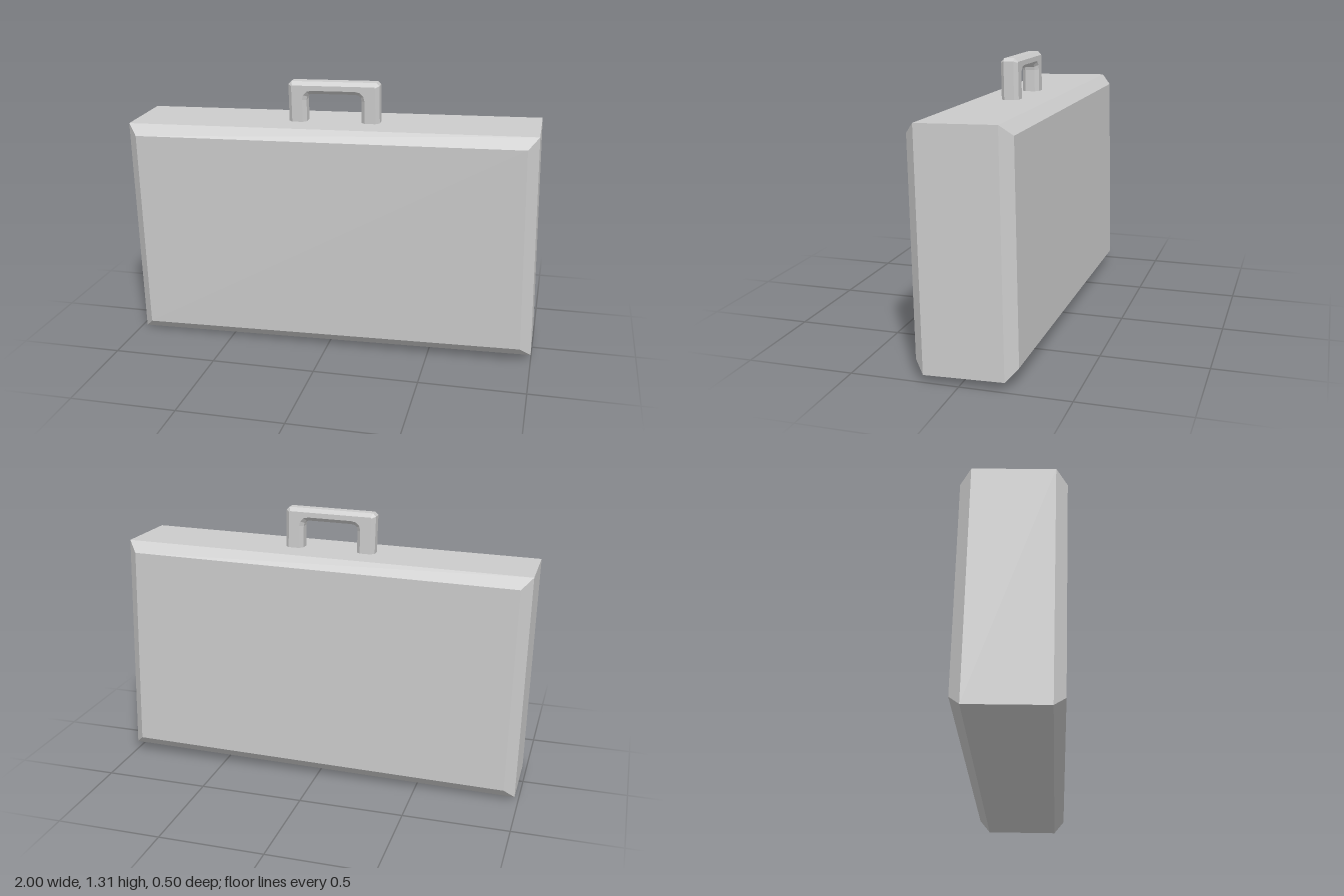
import * as THREE from 'three';

const W = 1.978, H = 1.088, D = 0.466; // case size
const EDGE = 0.05;                     // chamfer around front and back panels

// Box whose front and back panels are inset, leaving a chamfered rim
function caseGeometry() {
  const geo = new THREE.BoxGeometry(W, H, D, 1, 1, 3);
  const p = geo.attributes.position;
  for (let i = 0; i < p.count; i++) {
    const x = p.getX(i), y = p.getY(i), z = p.getZ(i);
    if (Math.abs(z) > D * 0.4) {
      p.setXY(i, x - Math.sign(x) * EDGE, y - Math.sign(y) * EDGE);
    } else {
      p.setZ(i, Math.sign(z) * (D / 2 - EDGE));
    }
  }
  const flat = geo.toNonIndexed();
  flat.computeVertexNormals();
  return flat;
}

// Arch-shaped grip with bevelled edges; the feet sink into the case
function handleGeometry() {
  const out = 0.223, inn = 0.135, foot = H / 2 - 0.04, under = 0.68, top = 0.74;
  const c = 0.015, r = 0.03;
  const s = new THREE.Shape();
  s.moveTo(-out, foot);
  s.lineTo(-inn, foot);
  s.lineTo(-inn, under - r);
  s.quadraticCurveTo(-inn, under, -inn + r, under);
  s.lineTo(inn - r, under);
  s.quadraticCurveTo(inn, under, inn, under - r);
  s.lineTo(inn, foot);
  s.lineTo(out, foot);
  s.lineTo(out, top - c);
  s.lineTo(out - c, top);
  s.lineTo(-out + c, top);
  s.lineTo(-out, top - c);
  s.closePath();
  const bevel = 0.018, depth = 0.084 - 2 * bevel;
  const geo = new THREE.ExtrudeGeometry(s, {
    depth, curveSegments: 3, bevelEnabled: true, bevelSegments: 1,
    bevelSize: bevel, bevelOffset: -bevel, bevelThickness: bevel,
  });
  return geo.translate(0.007, 0, -depth / 2 + 0.006);
}

export function createModel() {
  const material = new THREE.MeshStandardMaterial({ color: 0xcccccc, flatShading: true });
  const group = new THREE.Group();
  group.name = 'briefcase';

  // The whole case leans very slightly
  const tilted = new THREE.Group();
  tilted.name = 'tiltedCase';
  tilted.position.y = 0.566;
  tilted.rotation.set(0.025, 0.0074, 0.017);
  group.add(tilted);

  const parts = { caseBody: caseGeometry(), carryHandle: handleGeometry() };
  for (const [name, geo] of Object.entries(parts)) {
    const mesh = new THREE.Mesh(geo, material);
    mesh.name = name;
    tilted.add(mesh);
  }
  return group;
}
